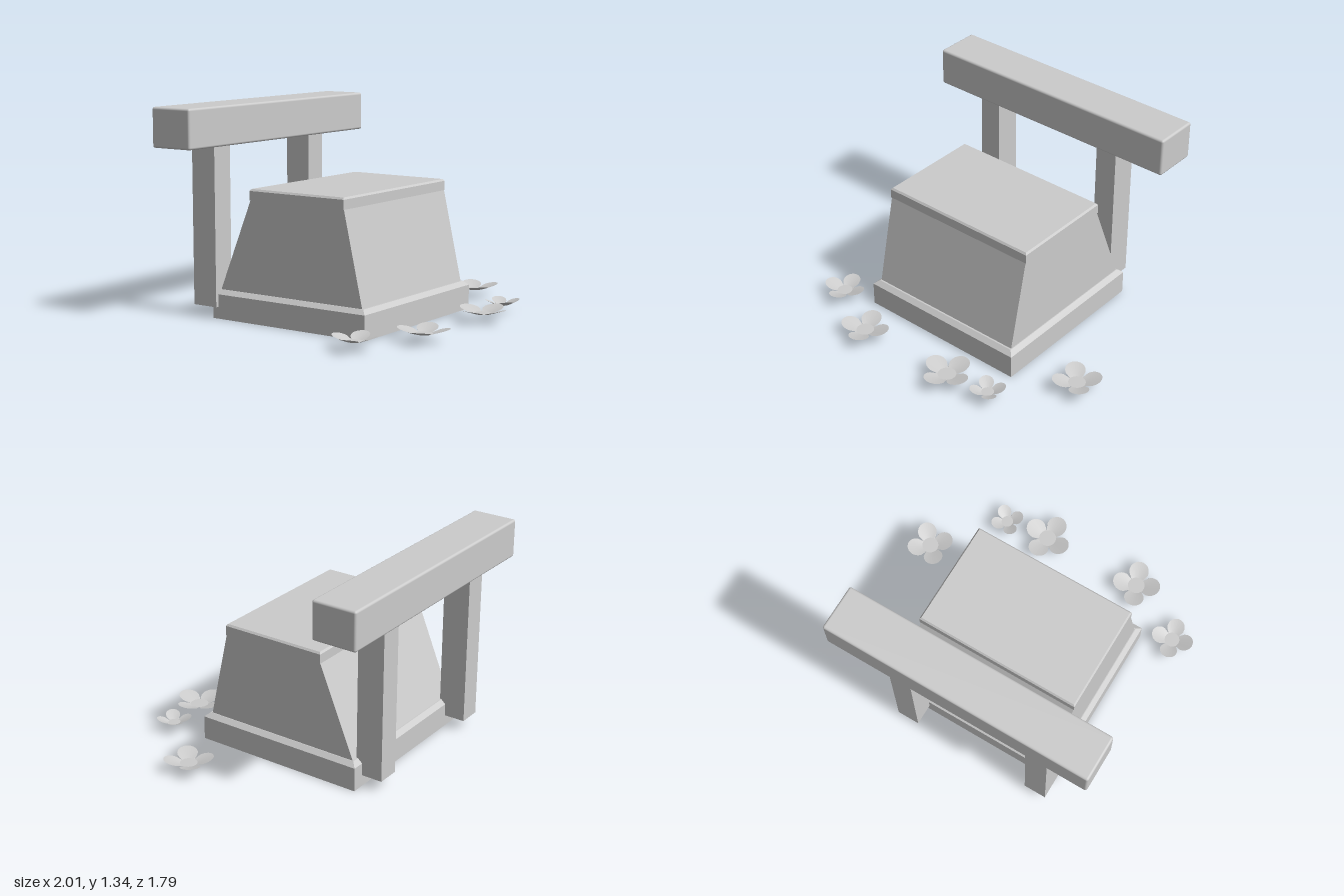
import * as THREE from 'three';
import { RoundedBoxGeometry } from 'three/addons/geometries/RoundedBoxGeometry.js';

const material = new THREE.MeshStandardMaterial({ color: 0xcccccc, side: THREE.DoubleSide });

function build(points, index) {
  let g = new THREE.BufferGeometry();
  g.setAttribute('position', new THREE.Float32BufferAttribute(points, 3));
  g.setIndex(index);
  g = g.toNonIndexed();
  g.computeVertexNormals();
  return g;
}

// Skin over rectangular sections [y, x0, x1, z0, z1], listed bottom to top
function loft(sections, capTop = false) {
  const points = [], index = [];
  for (const [y, x0, x1, z0, z1] of sections) {
    points.push(x0, y, z0, x0, y, z1, x1, y, z1, x1, y, z0);
  }
  for (let s = 0; s < sections.length - 1; s++) {
    for (let i = 0; i < 4; i++) {
      const a = s * 4 + i, b = s * 4 + (i + 1) % 4;
      index.push(a, b, b + 4, a, b + 4, a + 4);
    }
  }
  if (capTop) {
    const t = (sections.length - 1) * 4;
    index.push(t, t + 1, t + 2, t, t + 2, t + 3);
  }
  return build(points, index);
}

// Cupped flower with four rounded petals
function flowerGeometry(radius, turn) {
  const n = 64, points = [0, 0.05, 0], index = [];
  for (let i = 0; i < n; i++) {
    const a = (i / n) * Math.PI * 2;
    const lobe = Math.pow(Math.abs(Math.cos(2 * a)), 0.55);
    const r = radius * (0.37 + 0.63 * lobe);
    const c = Math.cos(a + turn), s = Math.sin(a + turn), q = radius * 0.35;
    points.push(c * q, 0.05, s * q, c * r, 0.05 + 0.035 * lobe, s * r);
    const p = 1 + i * 2, k = 1 + ((i + 1) % n) * 2;
    index.push(0, k, p, p, k, k + 1, p, k + 1, p + 1);
  }
  return build(points, index);
}

export function createModel() {
  const model = new THREE.Group();
  const add = (name, geometry, x = 0, y = 0, z = 0) => {
    const mesh = new THREE.Mesh(geometry, material);
    mesh.name = name;
    mesh.position.set(x, y, z);
    model.add(mesh);
  };

  // Hollow plinth: inner wall, underside rim, outer wall, bevel and top ledge
  add('base', loft([
    [0.155, -0.58, 0.41, -0.6, 0.37],
    [0, -0.58, 0.41, -0.6, 0.37],
    [0, -0.67, 0.5, -0.695, 0.46],
    [0.155, -0.67, 0.5, -0.695, 0.46],
    [0.182, -0.64, 0.47, -0.665, 0.43],
    [0.182, -0.6, 0.43, -0.62, 0.39],
  ]));

  // Body tapers front and back only
  add('body', loft([
    [0.175, -0.635, 0.465, -0.66, 0.42],
    [0.765, -0.635, 0.465, -0.415, 0.287],
  ]));

  add('lid', loft([
    [0.76, -0.64, 0.47, -0.42, 0.29],
    [0.82, -0.64, 0.47, -0.42, 0.29],
    [0.832, -0.63, 0.46, -0.41, 0.28],
  ], true));

  // Rear posts carrying the beam
  for (const [name, x] of [['rightPost', -0.69], ['leftPost', 0.27]]) {
    add(name, loft([
      [0.075, x, x + 0.15, -0.835, -0.655],
      [1.09, x, x + 0.15, -0.835, -0.655],
    ]));
  }
  add('beam', new RoundedBoxGeometry(1.79, 0.25, 0.3, 2, 0.015), -0.09, 1.21, -0.745);

  // Flowers on the ground: x, z, radius, turn
  const flowers = [
    [-0.87, 0.53, 0.14, -0.2],
    [-0.475, 0.745, 0.16, -0.33],
    [0.215, 0.735, 0.165, 0.15],
    [0.515, 0.7, 0.112, 0.75],
    [0.875, 0.28, 0.155, 0.8],
  ];
  for (const [x, z, radius, turn] of flowers) {
    add('flower', flowerGeometry(radius, turn), x, 0, z);
  }
  return model;
}
